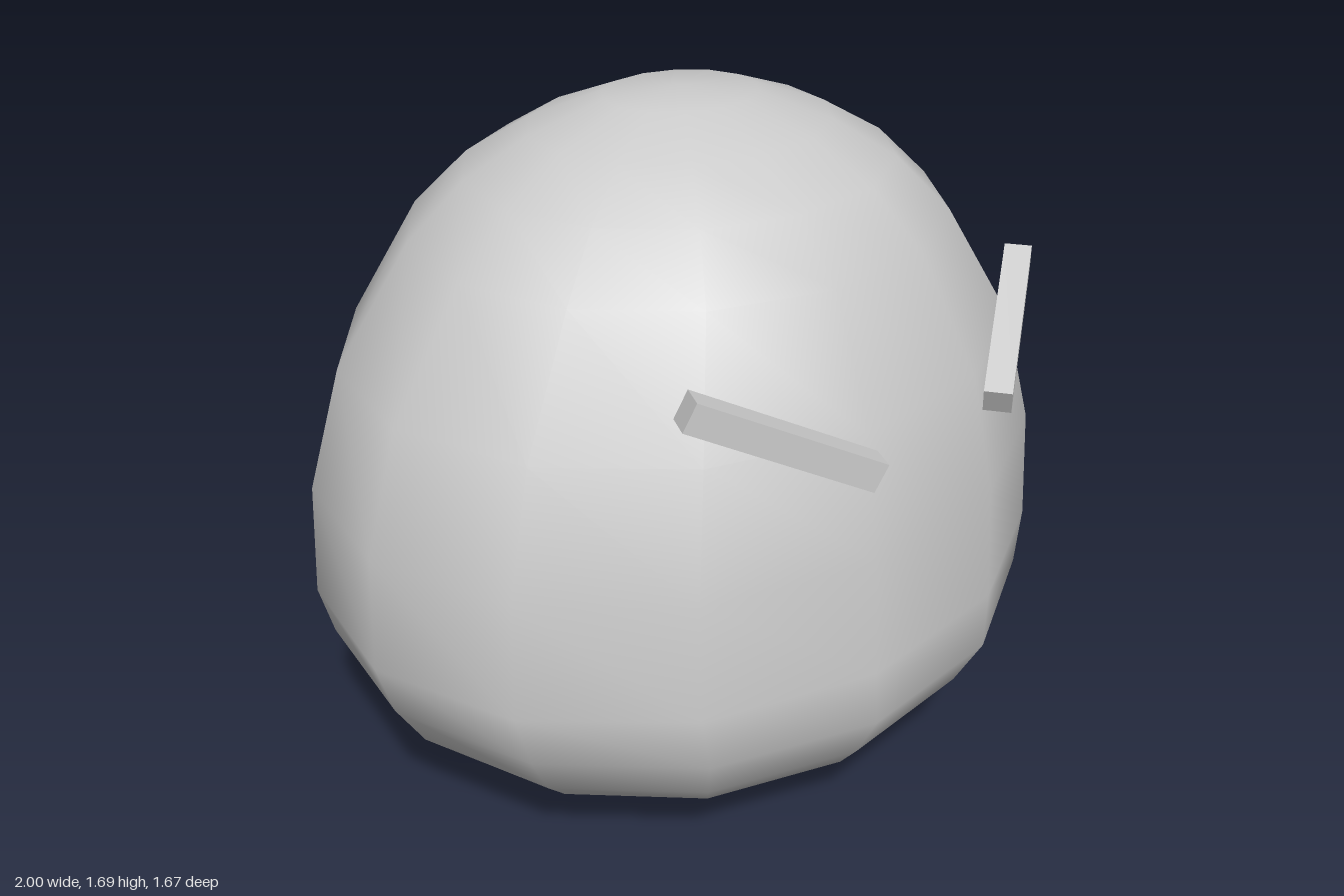
import * as THREE from 'three';
import { mergeVertices } from 'three/addons/utils/BufferGeometryUtils.js';

const SIDES = 14;

// Rings of the body from the bottom up: [height, half width, half depth]
const RINGS = [
  [0.005, 0, 0], [0.012, 0.405, 0.335], [0.045, 0.56, 0.47], [0.11, 0.70, 0.59],
  [0.19, 0.80, 0.71], [0.267, 0.88, 0.77], [0.395, 0.957, 0.835], [0.535, 1, 0.83],
  [0.82, 0.985, 0.81], [1.11, 0.89, 0.75], [1.39, 0.69, 0.61], [1.52, 0.55, 0.485],
  [1.61, 0.39, 0.335], [1.675, 0.2, 0.17], [1.69, 0, 0],
];

// Rounded blob: a lathe whose depth is squeezed ring by ring
function bodyGeometry() {
  const profile = RINGS.map(([y, rx]) => new THREE.Vector2(rx, y));
  const lathe = new THREE.LatheGeometry(profile, SIDES, Math.PI / 2);
  const pos = lathe.attributes.position;
  const widest = Math.sin((3 * 2 * Math.PI) / SIDES); // no corner lies exactly on the z axis
  for (let i = 0; i < pos.count; i++) {
    const [, rx, rz] = RINGS[i % RINGS.length];
    if (rx > 0) pos.setZ(i, (pos.getZ(i) * rz) / (rx * widest));
  }
  // Weld the seam and poles for smooth shading
  lathe.deleteAttribute('uv');
  lathe.deleteAttribute('normal');
  const welded = mergeVertices(lathe, 1e-4);
  welded.computeVertexNormals();
  return welded;
}

export function createModel() {
  const model = new THREE.Group();
  const material = new THREE.MeshStandardMaterial({ color: 0xcccccc });

  const body = new THREE.Mesh(bodyGeometry(), material);
  body.name = 'body';
  model.add(body);

  // Slanted eyebrow bars, mirrored across the face
  const barGeometry = new THREE.BoxGeometry(0.47, 0.07, 0.066);
  for (const [name, side] of [['leftEyebrow', 1], ['rightEyebrow', -1]]) {
    const brow = new THREE.Mesh(barGeometry, material);
    brow.name = name;
    brow.position.set(side * 0.412, 1.152, 0.693);
    brow.rotation.set(0, side * 0.52, side * 0.45, 'YXZ');
    model.add(brow);
  }
  return model;
}
